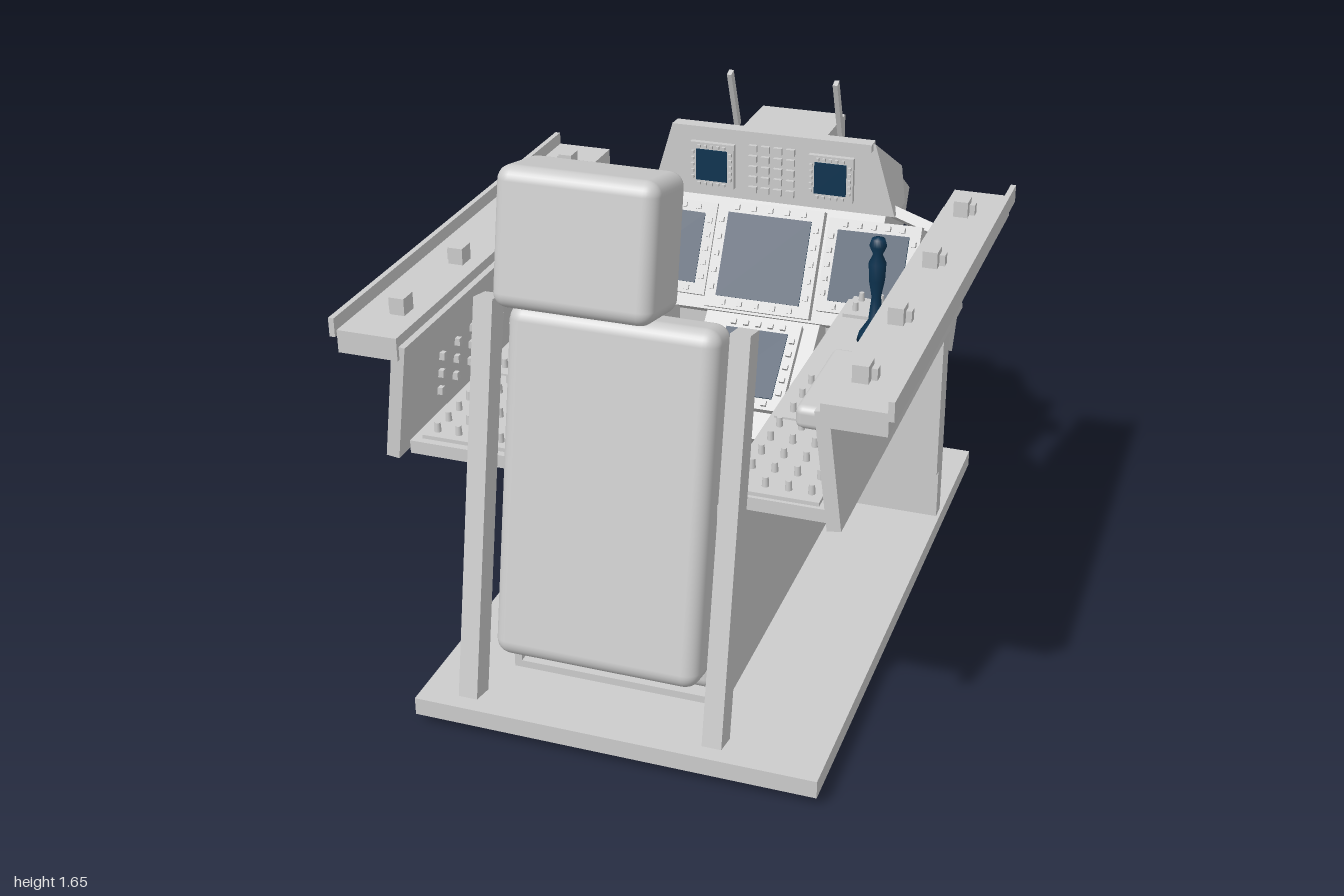
import * as THREE from 'three';
import { RoundedBoxGeometry } from 'three/addons/geometries/RoundedBoxGeometry.js';

const paint = (name, color) => Object.assign(new THREE.MeshStandardMaterial({ color }), { name });

export function createModel() {
  const grey = paint('light grey', 0xcccccc);
  const navy = paint('screen navy', 0x0d3350);
  const root = new THREE.Group();
  root.name = 'cockpitTrainer';

  const add = (parent, name, geo, x = 0, y = 0, z = 0, mat = grey) => {
    const m = new THREE.Mesh(geo, mat);
    m.name = name;
    m.position.set(x, y, z);
    parent.add(m);
    return m;
  };
  // box from its minimum and maximum on each axis
  const box = (parent, name, x0, x1, y0, y1, z0, z1, mat = grey) =>
    add(parent, name, new THREE.BoxGeometry(Math.abs(x1 - x0), y1 - y0, z1 - z0),
      (x0 + x1) / 2, (y0 + y1) / 2, (z0 + z1) / 2, mat);
  const group = (parent, name, x, y, z, rx = 0) => {
    const g = new THREE.Group();
    g.name = name;
    g.position.set(x, y, z);
    g.rotation.x = rx;
    parent.add(g);
    return g;
  };
  // vertical prism over a plan outline given as [x, z]
  const prism = (pts, h) => new THREE.ExtrudeGeometry(
    new THREE.Shape(pts.map(([x, z]) => new THREE.Vector2(x, -z))),
    { depth: h, bevelEnabled: false }).rotateX(-Math.PI / 2);
  const knob = (parent, x, y, z, r = 0.01, h = 0.025) =>
    add(parent, 'knob', new THREE.CylinderGeometry(r * 0.8, r, h, 10), x, y + h / 2, z);

  // screen in a raised frame with a row of keys on each edge, facing +z
  const display = (parent, name, x, y, z, w, h, border, ry = 0) => {
    const g = group(parent, name, x, y, z);
    g.rotation.y = ry;
    const W = w / 2 + border, H = h / 2 + border;
    box(g, 'bezel', -W, W, -H, H, -0.02, 0.012);
    box(g, 'screen', -w / 2, w / 2, -h / 2, h / 2, 0.012, 0.016, navy);
    const k = border * 0.22, n = 5;
    for (let i = 0; i < n; i++) {
      const u = ((i + 0.5) / n - 0.5);
      for (const s of [-1, 1]) {
        const a = s * (W - border / 2), b = s * (H - border / 2);
        box(g, 'key', u * w - k, u * w + k, b - k, b + k, 0.012, 0.022);
        box(g, 'key', a - k, a + k, u * h - k, u * h + k, 0.012, 0.022);
      }
    }
    return g;
  };

  // base, tub and bulkheads
  box(root, 'basePlate', -0.55, 0.55, 0.03, 0.08, -0.97, 0.83);
  box(root, 'pedestalFoot', -0.175, 0.175, 0, 0.22, -0.57, -0.235);
  box(root, 'tubFloor', -0.265, 0.265, 0.2, 0.22, -0.47, 0.765);
  box(root, 'bulkhead', -0.54, 0.54, 0.08, 0.72, -0.58, -0.53);

  // consoles, side walls and sills on both sides
  for (const s of [-1, 1]) {
    box(root, 'tubWall', s * 0.265, s * 0.285, 0.2, 0.78, -0.47, 0.765);
    box(root, 'outerBulkhead', s * 0.285, s * 0.55, 0.265, 0.78, -0.49, -0.455);
    box(root, 'console', s * 0.27, s * 0.545, 0.78, 0.815, -0.45, 0.76);
    const wall = add(root, 'sideWall', new THREE.BoxGeometry(0.035, 0.31, 1.33), s * 0.55, 0.945, 0.145);
    wall.rotation.z = s * 0.12;
    box(root, 'sill', s * 0.53, s * 0.69, 1.065, 1.125, -0.59, 0.82);
    box(root, 'sillLip', s * 0.69, s * 0.705, 1.11, 1.16, -0.59, 0.83);
    for (const z of [-0.41, -0.035, 0.335, 0.67]) {
      box(root, 'sillClip', s * 0.57, s * 0.61, 1.125, 1.17, z - 0.025, z + 0.025);
      box(root, 'clipTab', s * 0.61, s * 0.625, 1.125, 1.155, z - 0.025, z);
    }
    // switches along the inner wall
    for (let i = 0; i < 12; i++) {
      for (const y of [0.88, 0.93, 0.98]) {
        const x = 0.54 - (y - 0.945) * 0.12;
        box(root, 'wallSwitch', s * (x - 0.022), s * x, y - 0.01, y + 0.01, -0.4 + i * 0.09, -0.385 + i * 0.09);
      }
    }
  }

  // console panels with rows of knobs: [x0, x1, z0, z1, columns, rows]
  for (const [x0, x1, z0, z1, nx, nz] of [
    [-0.52, -0.29, 0.12, 0.36, 3, 3], [-0.52, -0.29, 0.37, 0.74, 4, 6],
    [0.285, 0.515, -0.44, -0.3, 4, 2], [0.285, 0.515, 0.11, 0.36, 3, 3],
    [0.285, 0.515, 0.37, 0.75, 4, 5]]) {
    box(root, 'consolePanel', x0, x1, 0.815, 0.825, z0, z1);
    for (let i = 0; i < nx; i++) for (let j = 0; j < nz; j++)
      knob(root, x0 + (x1 - x0) * (i + 0.5) / nx, 0.825, z0 + (z1 - z0) * (j + 0.5) / nz, 0.009);
  }
  knob(root, -0.47, 0.815, -0.35, 0.016);
  knob(root, -0.35, 0.815, -0.35, 0.016);

  // throttle levers
  box(root, 'throttlePlate', -0.51, -0.32, 0.815, 0.84, -0.285, 0.1);
  box(root, 'throttleSlot', -0.4, -0.39, 0.84, 0.845, -0.25, 0.06);
  for (const x of [-0.45, -0.387]) {
    box(root, 'throttleLever', x - 0.01, x + 0.01, 0.84, 0.99, -0.095, -0.07);
    add(root, 'throttleGrip', new THREE.SphereGeometry(0.025, 16, 12), x, 1, -0.082, navy).scale.set(0.8, 1, 1.6);
  }

  // control stick and armrest
  box(root, 'stickPlate', 0.35, 0.5, 0.815, 0.835, -0.22, -0.02);
  const grip = [[0, 0], [0.05, 0], [0.045, 0.02], [0.02, 0.06], [0.013, 0.13], [0.022, 0.18],
    [0.024, 0.23], [0.013, 0.255], [0.024, 0.28], [0.018, 0.3], [0, 0.305]];
  add(root, 'controlStick', new THREE.LatheGeometry(grip.map(p => new THREE.Vector2(...p)), 20), 0.42, 0.835, -0.14, navy);
  add(root, 'armrest', new RoundedBoxGeometry(0.13, 0.065, 0.37, 3, 0.02), 0.42, 0.86, 0.235);

  // seat, reclined rails and headrest
  add(root, 'seatCushion', new RoundedBoxGeometry(0.53, 0.19, 0.61, 3, 0.035), 0, 0.325, 0.455);
  add(root, 'seatHandle', new RoundedBoxGeometry(0.08, 0.03, 0.035, 2, 0.008), 0, 0.4, 0.143);
  for (const s of [-1, 1]) box(root, 'handleMount', s * 0.08, s * 0.1, 0.385, 0.415, 0.125, 0.16);
  add(root, 'seatBack', new RoundedBoxGeometry(0.535, 0.9, 0.13, 4, 0.04), 0, 0.775, 0.78).rotation.x = -0.2;
  add(root, 'headrest', new RoundedBoxGeometry(0.385, 0.325, 0.205, 4, 0.035), 0, 1.475, 0.873).rotation.x = -0.2;
  for (const s of [-1, 1])
    add(root, 'seatRail', new THREE.BoxGeometry(0.05, 1.03, 0.068), s * 0.322, 0.727, 0.833).rotation.x = -0.205;

  // centre pedestal
  const ped = group(root, 'centrePedestal', 0, 0.583, -0.325, -0.865);
  box(ped, 'pedestalBody', -0.175, 0.175, -0.205, 0.205, -0.51, 0);
  display(ped, 'pedestalDisplay', 0, 0.02, 0.012, 0.19, 0.21, 0.035);

  // dashboard, tilted back
  const dash = group(root, 'dashboard', 0, 0.735, -0.4, -0.51);
  add(dash, 'dashCentre', prism([[-0.3, -0.443], [0.3, -0.443], [0.33, -0.03], [-0.33, -0.03]], 0.49));
  display(dash, 'centreDisplay', 0, 0.165, 0.012, 0.255, 0.25, 0.034);
  for (const s of [-1, 1]) {
    add(dash, 'dashWing', prism([[0.28, -0.443], [0.51, -0.443], [0.45, -0.03], [0.26, -0.03]].map(([x, z]) => [s * x, z]), 0.315));
    display(dash, 'sideDisplay', s * 0.315, 0.175, 0.005, 0.22, 0.21, 0.033, -s * 0.12);
    const brace = add(dash, 'sideBrace', new THREE.BoxGeometry(0.17, 0.03, 0.13), s * 0.42, 0.335, -0.05);
    brace.rotation.z = -s * 0.3;
  }

  // glareshield with upper panel: side profile swept in x, narrowed towards the top
  const profile = [[-0.535, 1.255], [-0.72, 1.13], [-0.66, 1.04], [-0.535, 1.04]];
  const shield = new THREE.ExtrudeGeometry(
    new THREE.Shape(profile.map(([z, y]) => new THREE.Vector2(-z, y))), { depth: 0.74, bevelEnabled: false });
  shield.translate(0, 0, -0.37).rotateY(Math.PI / 2);
  const p = shield.attributes.position;
  for (let i = 0; i < p.count; i++) p.setX(i, p.getX(i) * (1 - (p.getY(i) - 1.04) * 0.8));
  shield.computeVertexNormals();
  add(root, 'glareshield', shield);
  box(root, 'glareshieldLip', -0.3, 0.3, 1.235, 1.258, -0.56, -0.515);
  for (const s of [-1, 1]) display(root, 'upperDisplay', s * 0.18, 1.14, -0.53, 0.095, 0.095, 0.02);
  for (let i = 0; i < 4; i++) for (let j = 0; j < 5; j++)
    box(root, 'keypadKey', -0.07 + i * 0.038, -0.045 + i * 0.038, 1.065 + j * 0.032, 1.085 + j * 0.032, -0.536, -0.522);

  // sight unit with two posts
  box(root, 'sightUnit', -0.13, 0.13, 1.13, 1.22, -0.86, -0.64);
  for (const s of [-1, 1]) {
    add(root, 'sightPost', new THREE.BoxGeometry(0.014, 0.2, 0.024), s * 0.16, 1.3, -0.665).rotation.x = 0.38;
    // rudder pedals
    add(root, 'pedal', new THREE.BoxGeometry(0.085, 0.2, 0.025), s * 0.12, 0.185, -0.787).rotation.x = -0.47;
  }
  return root;
}
